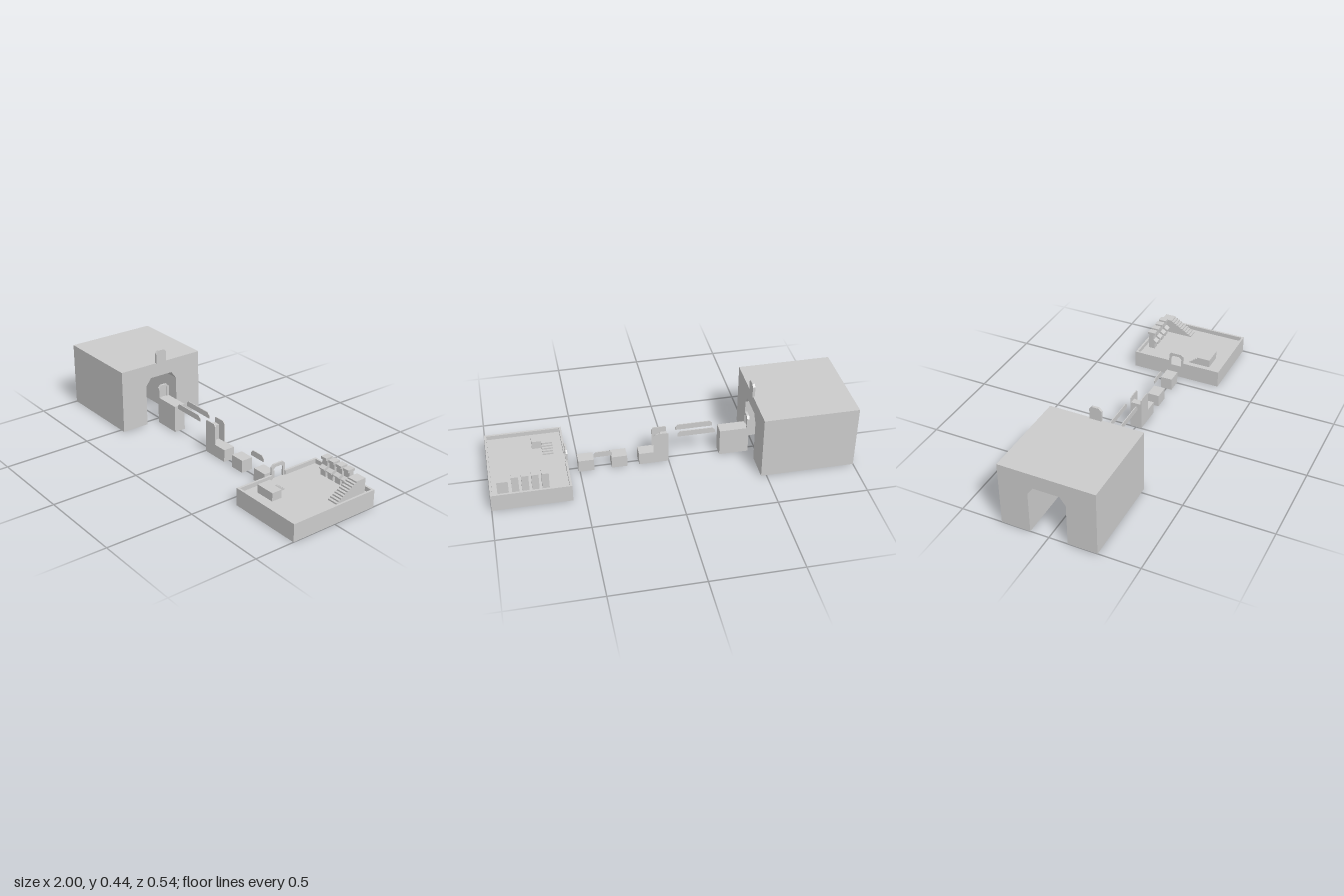
import * as THREE from 'three';

const material = new THREE.MeshStandardMaterial({ color: 0xcccccc, flatShading: true });

export function createModel() {
  const model = new THREE.Group();

  const add = (name, geometry) => {
    const mesh = new THREE.Mesh(geometry, material);
    mesh.name = name;
    model.add(mesh);
    return mesh;
  };
  // Box given by its limits on each axis
  const box = (name, x0, x1, y0, y1, z0, z1) =>
    add(name, new THREE.BoxGeometry(x1 - x0, y1 - y0, z1 - z0)
      .translate((x0 + x1) / 2, (y0 + y1) / 2, (z0 + z1) / 2));
  const shapeOf = (points) => new THREE.Shape(points.map(([a, b]) => new THREE.Vector2(a, b)));
  const extrude = (shape, depth) => new THREE.ExtrudeGeometry(shape, { depth, bevelEnabled: false });
  // Profile of (z, y) points, swept from x0 to x1
  const alongX = (name, points, x0, x1) =>
    add(name, extrude(shapeOf(points), x1 - x0).rotateY(-Math.PI / 2).translate(x1, 0, 0));
  // Profile of (x, y) points, swept from z0 to z1
  const alongZ = (name, points, z0, z1) =>
    add(name, extrude(shapeOf(points), z1 - z0).translate(0, 0, z0));
  // Outline with two cut top corners
  const cutTop = (a0, a1, b0, b1, c) =>
    [[a0, b0], [a1, b0], [a1, b1 - c], [a1 - c, b1], [a0 + c, b1], [a0, b1 - c]];
  // Arch outline open at the bottom
  const arch = (w, h, c, iw, ih, ic, base) => [
    [-w, base], [-iw, base], [-iw, ih - ic], [-iw + ic, ih], [iw - ic, ih], [iw, ih - ic],
    [iw, base], [w, base], [w, h - c], [w - c, h], [-w + c, h], [-w, h - c],
  ];

  const D = 0.268; // half depth of the large blocks
  const W = 0.034; // half width of the path

  // Tunnel block with a plaque on its top edge
  alongX('tunnelBlock', [
    [-D, 0], [-0.105, 0], [-0.105, 0.242], [-0.072, 0.287], [0.072, 0.287], [0.105, 0.242],
    [0.105, 0], [D, 0], [D, 0.37], [-D, 0.37],
  ], -1, -0.47);
  alongX('topPlaque', cutTop(-W, W, 0.365, 0.445, 0.015), -0.48, -0.466);

  // First platform and its door
  box('firstPlatform', -0.455, -0.29, 0, 0.16, -W, W);
  alongX('doorFrame', arch(W, 0.235, 0.015, 0.021, 0.218, 0.005, 0.16), -0.458, -0.444);
  box('doorPanel', -0.457, -0.45, 0.16, 0.219, -0.022, 0.022);

  // Side rails over the first gap
  for (const z of [-W, W - 0.005]) {
    alongZ('bridgeRail', cutTop(-0.26, -0.05, 0.16, 0.193, 0.015), z, z + 0.005);
  }

  // Stepped platform: high ledge, low step and two side walls
  box('lowStep', 0.002, 0.168, 0, 0.072, -W, W);
  box('highLedge', 0.002, 0.04, 0.072, 0.16, -W + 0.005, W - 0.005);
  for (const z of [-W, W - 0.005]) {
    alongZ('ledgeWall', [
      [0.002, 0.072], [0.086, 0.072], [0.086, 0.18], [0.075, 0.193], [0.012, 0.193], [0.002, 0.188],
    ], z, z + 0.005);
  }

  // Stepping blocks and the panel between them
  for (const x of [0.235, 0.42]) box('steppingBlock', x, x + 0.087, 0, 0.072, -W, W);
  alongZ('gapPanel', cutTop(0.32, 0.422, 0.087, 0.12, 0.014), -W, -W + 0.005);

  // Tray with a sunken floor and a rim, open at the entrance
  const X0 = 0.567, X1 = 1, T = 0.012, floor = 0.075, rim = 0.1;
  box('trayBase', X0, X1, 0, floor, -D, D);
  box('rimEast', X1 - T, X1, floor, rim, -D, D);
  for (const s of [-1, 1]) {
    const [z0, z1] = s < 0 ? [-D, -D + T] : [D - T, D];
    box('rimSide', X0, X1 - T, floor, rim, z0, z1);
    const [a, b] = s < 0 ? [-D + T, -0.045] : [0.045, D - T];
    box('rimWest', X0, X0 + T, floor, rim, a, b);
  }
  alongX('entranceArch', arch(0.045, 0.158, 0.014, 0.033, 0.14, 0.014, floor), X0 - 0.003, X0 + 0.007);

  // Stair outline rising from z0 towards z1, with a flat top ending at zEnd
  const stairs = (name, count, z0, z1, zEnd, top, x0, x1) => {
    const points = [[zEnd, floor], [z0, floor]];
    for (let i = 0; i < count; i++) {
      const y = floor + (top - floor) * (i + 1) / count;
      points.push([z0 + (z1 - z0) * i / count, y], [z0 + (z1 - z0) * (i + 1) / count, y]);
    }
    points.push([zEnd, top]);
    alongX(name, points, x0, x1);
  };
  stairs('tallStairs', 10, -0.045, -0.19, -0.24, 0.16, 0.9, 0.96);
  stairs('lowStairs', 5, 0.058, 0.118, 0.126, 0.122, 0.632, 0.692);
  box('lowPodium', 0.632, 0.745, floor, 0.122, 0.125, 0.186);

  // Row of hooded cabinets along the back
  for (let i = 0; i < 4; i++) {
    const x = 0.684 + i * 0.0535;
    alongX('cabinet', [
      [-0.232, floor], [-0.195, floor], [-0.195, 0.112], [-0.182, 0.115], [-0.182, 0.121],
      [-0.204, 0.134], [-0.204, 0.167], [-0.194, 0.167], [-0.194, 0.182], [-0.24, 0.182],
      [-0.24, 0.167], [-0.232, 0.167],
    ], x, x + 0.038);
  }

  return model;
}
